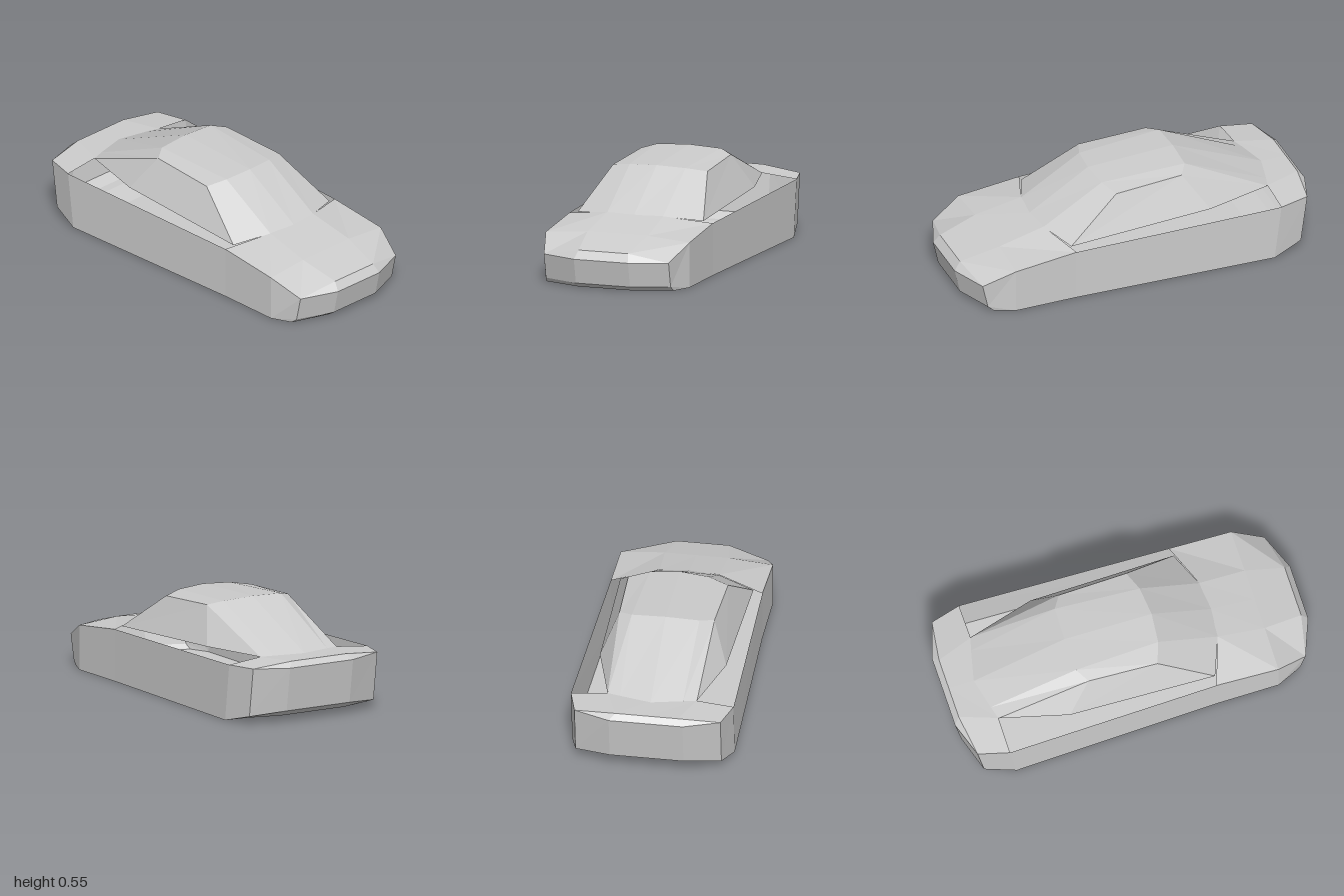
import * as THREE from 'three';

const material = new THREE.MeshStandardMaterial({
  color: 0xcccccc, flatShading: true, side: THREE.DoubleSide,
});

// Skins neighbouring rows of [x, y, z] points, skipping collapsed triangles.
function skin(name, rows) {
  const pos = [];
  const v = (p) => new THREE.Vector3(...p);
  const tri = (a, b, c) => {
    const n = v(b).sub(v(a)).cross(v(c).sub(v(a)));
    if (n.length() > 1e-6) pos.push(...a, ...b, ...c);
  };
  for (let r = 0; r < rows.length - 1; r++) {
    for (let i = 0; i < rows[r].length - 1; i++) {
      const a = rows[r][i], b = rows[r][i + 1];
      const c = rows[r + 1][i], d = rows[r + 1][i + 1];
      tri(a, c, b);
      tri(b, c, d);
    }
  }
  const geo = new THREE.BufferGeometry();
  geo.setAttribute('position', new THREE.Float32BufferAttribute(pos, 3));
  geo.computeVertexNormals();
  const mesh = new THREE.Mesh(geo, material);
  mesh.name = name;
  return mesh;
}

const flip = ([x, y, z]) => [-x, y, z];

// Completes a row given from the centre line outwards.
const full = (half) => [...half.slice(1).reverse().map(flip), ...half];

// The same half surface on both sides of the car; the mirrored rows run backwards to keep faces outward.
function bothSides(name, rows) {
  const group = new THREE.Group();
  group.name = name;
  group.add(skin(name + 'Left', rows));
  group.add(skin(name + 'Right', rows.map((row) => row.map(flip).reverse())));
  return group;
}

export function createModel() {
  const car = new THREE.Group();
  car.name = 'car';

  // Body shell: half outlines from the nose round to the tail
  const rim = [
    [0, 0.16, 1], [0.155, 0.16, 1], [0.357, 0.16, 0.92], [0.412, 0.245, 0.75], [0.41, 0.285, 0.4],
    [0.44, 0.31, -0.77], [0.395, 0.312, -0.937], [0.2, 0.305, -1], [0, 0.305, -1],
  ];
  const sill = [
    [0, 0.025, 0.97], [0.155, 0.025, 0.97], [0.357, 0.025, 0.89], [0.412, 0, 0.75], [0.41, 0, 0.4],
    [0.44, 0, -0.73], [0.395, 0.045, -0.9], [0.2, 0.065, -0.965], [0, 0.065, -0.965],
  ];
  const base = [
    [0, 0, 0.935], [0.155, 0, 0.935], [0.365, 0, 0.86], [0.412, 0, 0.75], [0.41, 0, 0.4],
    [0.44, 0, -0.73], [0.38, 0.03, -0.86], [0.2, 0.03, -0.91], [0, 0.03, -0.91],
  ];
  const keel = base.map(([, y, z]) => [0, y, z]);
  car.add(bothSides('bodySide', [rim, sill]));
  car.add(bothSides('lowerBevel', [sill, base]));
  car.add(bothSides('floor', [base, keel]));

  // Hood with its sloping nose
  car.add(skin('hood', [
    [[0, 0.322, 0.5], [0.16, 0.322, 0.49], [0.41, 0.285, 0.4]],
    [[0, 0.265, 0.75], [0.172, 0.265, 0.75], [0.412, 0.245, 0.75]],
    [[0, 0.205, 0.965], [0.142, 0.205, 0.965], [0.357, 0.16, 0.92]],
    rim.slice(0, 3),
  ].map(full)));

  // Trunk lid and its rear bevel
  car.add(skin('trunk', [
    [[0, 0.335, -1], [0.2, 0.305, -1], [0.395, 0.312, -0.937]].map((p, i) => (i ? p : [0, 0.305, -1])),
    [[0, 0.335, -0.97], [0.17, 0.335, -0.97], [0.395, 0.312, -0.937]],
    [[0, 0.333, -0.82], [0.24, 0.33, -0.77], [0.44, 0.31, -0.77]],
  ].map(full)));

  // Cabin cross-sections, centre to edge
  const screenBase = [[0, 0.322, 0.505], [0.16, 0.32, 0.49], [0.36, 0.295, 0.41]];
  const roofFront = [[0, 0.53, 0.17], [0.16, 0.522, 0.155], [0.27, 0.505, 0.115]];
  const roofRear = [[0, 0.553, -0.32], [0.183, 0.545, -0.315], [0.257, 0.525, -0.268]];
  const rearBase = [[0, 0.333, -0.83], [0.17, 0.332, -0.79], [0.242, 0.33, -0.77]];
  car.add(skin('windscreen', [full(roofFront), full(screenBase)]));
  car.add(skin('roof', [full(roofRear), full(roofFront)]));
  car.add(skin('rearWindow', [full(rearBase), full(roofRear)]));

  // Side windows, tapering to the tail
  const hip = [0.342, 0.33, -0.4];
  car.add(bothSides('sideWindow', [
    [screenBase[2], roofFront[2], roofRear[2], rearBase[2]],
    [screenBase[2], screenBase[2], hip, rearBase[2]],
  ].map((row) => row.slice())));

  return car;
}
